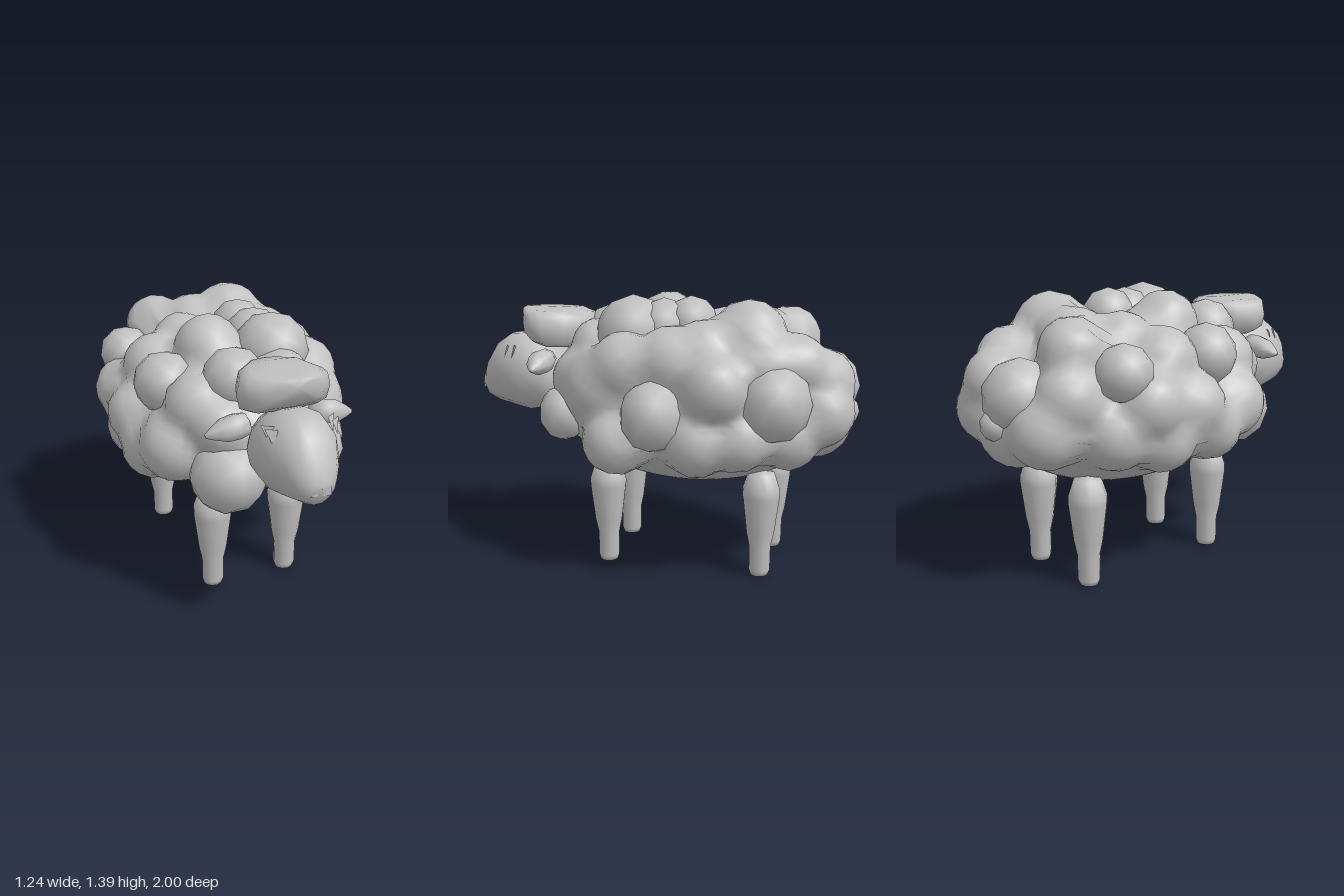
import * as THREE from 'three';
import { mergeVertices } from 'three/addons/utils/BufferGeometryUtils.js';

const grey = new THREE.MeshStandardMaterial({ color: 0xc0c0c0 });
grey.name = 'plain grey';
grey.side = THREE.DoubleSide;

function add(parent, name, geometry, position = [0, 0, 0]) {
  const mesh = new THREE.Mesh(geometry, grey);
  mesh.name = name;
  mesh.position.set(...position);
  parent.add(mesh);
  return mesh;
}

function lathe(points, sides) {
  return new THREE.LatheGeometry(points.map(([r, y]) => new THREE.Vector2(r, y)), sides);
}

// Skin rounded sections [z, centre y, half width, half height]; power below 1 makes them boxier
function loft(sections, sides, power = 1) {
  const vertices = [], index = [];
  const bend = (v) => Math.sign(v) * Math.abs(v) ** power;
  sections.forEach(([z, cy, rx, ry], i) => {
    for (let j = 0; j < sides; j++) {
      const a = (j / sides) * Math.PI * 2;
      vertices.push(bend(Math.cos(a)) * rx, cy + bend(Math.sin(a)) * ry, z);
      if (i === sections.length - 1) continue;
      const k = (j + 1) % sides, p = i * sides, q = p + sides;
      index.push(p + j, p + k, q + k, p + j, q + k, q + j);
    }
  });
  const geometry = new THREE.BufferGeometry();
  geometry.setAttribute('position', new THREE.Float32BufferAttribute(vertices, 3));
  geometry.setIndex(index);
  geometry.computeVertexNormals();
  return geometry;
}

function triangle(...corners) {
  const geometry = new THREE.BufferGeometry();
  geometry.setAttribute('position', new THREE.Float32BufferAttribute(corners.flat(), 3));
  geometry.computeVertexNormals();
  return geometry;
}

// Bulges that melt into the fleece, as [x, y, z, radius]
const topBulges = [
  [-0.13, 1.215, 0.0, 0.17], [0.13, 1.13, 0.3, 0.14], [0.17, 1.2, -0.47, 0.19],
  [-0.03, 1.17, -0.5, 0.17], [-0.2, 1.16, -0.62, 0.16], [-0.16, 1.16, -0.3, 0.15],
  [0.2, 1.08, -0.7, 0.16], [0.12, 1.0, -0.82, 0.16], [0.02, 0.78, -0.78, 0.185],
];
const leftBulges = [
  [0.28, 0.95, 0.22, 0.21], [0.39, 0.71, 0.13, 0.17], [0.4, 0.73, -0.27, 0.17],
  [0.43, 1.0, -0.36, 0.165], [0.33, 1.1, -0.12, 0.17], [0.36, 0.75, -0.46, 0.16],
  [0.34, 1.07, 0.1, 0.17], [0.24, 0.75, -0.67, 0.17], [0.3, 1.09, -0.56, 0.14],
  [0.28, 1.13, -0.28, 0.17], [0.2, 0.97, 0.36, 0.16], [0.18, 0.86, -0.82, 0.17],
];
const rightBulges = [
  [-0.38, 0.83, 0.21, 0.185], [-0.45, 0.92, -0.37, 0.165], [-0.46, 0.88, -0.12, 0.165],
  [-0.43, 0.75, 0.02, 0.17], [-0.42, 0.74, -0.27, 0.17], [-0.36, 0.78, -0.5, 0.17],
  [-0.26, 0.96, -0.68, 0.17], [-0.2, 0.81, -0.77, 0.18], [-0.34, 1.08, -0.2, 0.17],
  [-0.28, 1.03, 0.25, 0.17], [-0.22, 0.97, 0.38, 0.15],
];

// Separate puffs standing out of the fleece, as [x, y, z, radius, height scale]
const puffs = [
  [0.46, 0.86, -0.07, 0.16, 1.1], [0.345, 0.93, -0.625, 0.18, 1.08], [0.255, 0.8, 0.45, 0.13, 1.12],
  [0.16, 1.205, 0.11, 0.19, 1], [0.13, 1.23, -0.04, 0.15, 1], [0.1, 1.255, -0.17, 0.135, 1],
  [-0.12, 1.16, 0.3, 0.155, 1], [-0.2, 0.735, 0.43, 0.195, 1], [-0.38, 1.09, 0.05, 0.155, 1],
  [-0.41, 1.07, -0.49, 0.14, 1], [-0.06, 0.95, -0.81, 0.185, 1], [-0.02, 0.83, -0.92, 0.08, 1],
];

// Ellipsoid pushed out along its rays to a soft union of the bulges
function fleece(center, size, bulges) {
  let geometry = new THREE.IcosahedronGeometry(1, 13);
  geometry.deleteAttribute('normal');
  geometry.deleteAttribute('uv');
  geometry = mergeVertices(geometry, 1e-4);
  const position = geometry.attributes.position;
  const ray = new THREE.Vector3(), toBulge = new THREE.Vector3();
  for (let i = 0; i < position.count; i++) {
    ray.fromBufferAttribute(position, i).multiply(size);
    const core = ray.length();
    ray.normalize();
    let sum = Math.exp(55 * core);
    for (const [x, y, z, r] of bulges) {
      toBulge.set(x, y, z).sub(center);
      const along = toBulge.dot(ray);
      if (along < 0) continue;
      const d = r * r - toBulge.lengthSq() + along * along;
      sum += Math.exp(55 * (along + (d > 0 ? Math.sqrt(d) : -2 * Math.sqrt(-d))));
    }
    ray.multiplyScalar(Math.log(sum) / 55).add(center);
    position.setXYZ(i, ray.x, ray.y, ray.z);
  }
  geometry.computeVertexNormals();
  return geometry;
}

export function createModel() {
  const model = new THREE.Group();
  model.name = 'sheep';

  // Fleece-covered body
  add(model, 'body', fleece(new THREE.Vector3(0, 0.86, -0.17), new THREE.Vector3(0.5, 0.417, 0.73),
    [...topBulges, ...leftBulges, ...rightBulges]));

  // Separate wool puffs
  const wool = new THREE.Group();
  wool.name = 'wool';
  model.add(wool);
  const puffShape = new THREE.IcosahedronGeometry(1, 1);
  for (const [x, y, z, r, tall] of puffs) {
    add(wool, 'woolPuff', puffShape, [x, y, z]).scale.set(r, r * tall, r);
  }

  // Head with a blunt, tapering snout
  add(model, 'head', loft([
    [0.52, 0.95, 0.001, 0.001], [0.56, 0.95, 0.15, 0.15], [0.63, 0.95, 0.187, 0.185],
    [0.73, 0.955, 0.192, 0.212], [0.83, 0.96, 0.168, 0.197], [0.915, 0.94, 0.125, 0.158],
    [0.965, 0.91, 0.09, 0.108], [0.995, 0.895, 0.05, 0.045], [1.0, 0.895, 0.001, 0.001],
  ], 14), [-0.01, 0, 0]);

  // Woolly forelock, thick at the back and tucked up over the brow
  add(model, 'forelock', loft([
    [-0.2, 0.01, 0.001, 0.001], [-0.19, 0.01, 0.09, 0.07], [-0.1, 0, 0.18, 0.1],
    [0.0, 0, 0.22, 0.1], [0.07, 0.01, 0.21, 0.09], [0.13, 0.03, 0.15, 0.07],
    [0.17, 0.06, 0.06, 0.04], [0.172, 0.06, 0.001, 0.001],
  ], 12, 0.55), [-0.008, 1.2, 0.58]);

  // Mouth
  add(model, 'mouth', triangle([-0.07, 0.865, 0.996], [0.04, 0.855, 0.996], [0.035, 0.905, 1.0]));

  const earShape = lathe([[0, 0], [0.05, 0.02], [0.06, 0.07], [0.055, 0.13], [0.03, 0.185],
    [0.01, 0.22], [0, 0.222]], 8);
  const legShape = lathe([[0, 0.005], [0.045, 0.008], [0.054, 0.035], [0.055, 0.16], [0.07, 0.23],
    [0.093, 0.42], [0.093, 0.46], [0.067, 0.54], [0, 0.555]], 12);

  for (const side of [1, -1]) {
    const label = side > 0 ? 'left' : 'right';

    // Ears
    const ear = add(model, label + 'Ear', earShape, [side * 0.15 - 0.007, 1.06, 0.58]);
    ear.rotation.z = -side * (Math.PI / 2 + 0.16);
    ear.scale.z = 1.15;

    // Eye slivers
    for (const dz of [0, 0.04]) {
      add(model, label + 'Eye', triangle(
        [side * 0.13, 1.11, 0.81 - dz], [side * 0.18, 1.11, 0.775 - dz], [side * 0.155, 1.04, 0.82 - dz]));
    }

    // Legs
    for (const [name, z] of [['FrontLeg', 0.24], ['BackLeg', -0.555]]) {
      add(model, label + name, legShape, [side * 0.206 - 0.006, 0, z]).scale.x = 1.05;
    }
  }
  return model;
}
